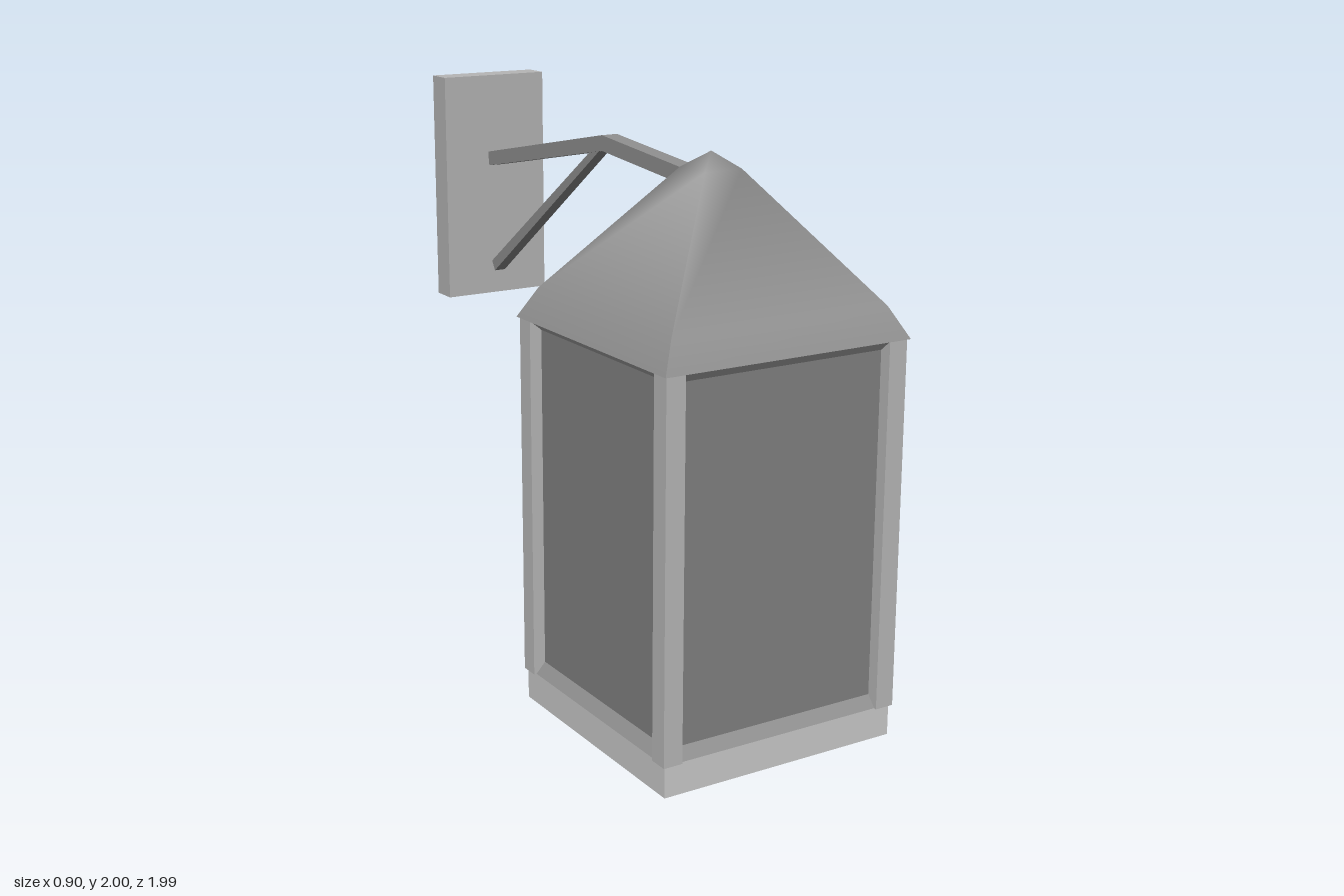
import * as THREE from 'three';

const Z = 0.543; // lantern centre
const paint = (color, flatShading = false) => new THREE.MeshStandardMaterial({ color, flatShading });
const baseGrey = paint(0xc3c3c3);
const postGrey = paint(0xb9b9b9);
const plateGrey = paint(0xb6b6b6);
const roofGrey = paint(0x919191);
const armGrey = paint(0x8f8f8f);
const glassGrey = paint(0x828282);
const sillGrey = paint(0x8e8e8e, true);
const lintelGrey = paint(0xb4b4b4, true);

function add(parent, name, geometry, material) {
  const mesh = new THREE.Mesh(geometry, material);
  mesh.name = name;
  parent.add(mesh);
  return mesh;
}

// Box spanning two heights, centred on x and z
function box(w, d, y0, y1, x = 0, z = 0) {
  return new THREE.BoxGeometry(w, y1 - y0, d).translate(x, (y0 + y1) / 2, z);
}

// Square frustum given by half widths at its two heights
function frustum(half0, half1, y0, y1) {
  const g = new THREE.CylinderGeometry(half1 * Math.SQRT2, half0 * Math.SQRT2, y1 - y0, 4);
  return g.rotateY(Math.PI / 4).translate(0, (y0 + y1) / 2, 0);
}

// Bar with a side outline of [z, y] corners, given a width across x
function bar(outline, width) {
  const shape = new THREE.Shape(outline.map(([z, y]) => new THREE.Vector2(-z, y)));
  const g = new THREE.ExtrudeGeometry(shape, { depth: width, bevelEnabled: false });
  return g.translate(0, 0, -width / 2).rotateY(Math.PI / 2);
}

// Four-sided roof: hip edges are sharp at the eaves and soften towards the tip
function roofGeometry() {
  const profile = [[0.45, 1.337], [0.397, 1.438], [0.069, 1.847], [0, 1.9]];
  const rise = [0.46, 0.58, 0.68, 1]; // upward part of the normals
  const positions = [], normals = [], index = [];
  for (let side = 0; side < 4; side++) {
    const turn = new THREE.Matrix4().makeRotationY(side * Math.PI / 2);
    const start = positions.length / 3;
    profile.forEach(([half, y], i) => {
      for (const s of [-1, 1]) {
        const p = new THREE.Vector3(s * half, y, half).applyMatrix4(turn);
        const out = Math.sqrt(1 - rise[i] ** 2);
        const n = i < 2
          ? new THREE.Vector3(0, rise[i], out)
          : new THREE.Vector3(s * out * Math.SQRT1_2, rise[i], out * Math.SQRT1_2);
        n.applyMatrix4(turn);
        positions.push(p.x, p.y, p.z);
        normals.push(n.x, n.y, n.z);
      }
    });
    for (let i = 0; i < profile.length - 1; i++) {
      const a = start + i * 2;
      index.push(a, a + 1, a + 3);
      if (i < profile.length - 2) index.push(a, a + 3, a + 2);
    }
  }
  const g = new THREE.BufferGeometry();
  g.setAttribute('position', new THREE.Float32BufferAttribute(positions, 3));
  g.setAttribute('normal', new THREE.Float32BufferAttribute(normals, 3));
  g.setIndex(index);
  return g;
}

export function createModel() {
  const model = new THREE.Group();
  model.name = 'wallLantern';

  const lantern = new THREE.Group();
  lantern.name = 'lantern';
  lantern.position.z = Z;
  model.add(lantern);

  // Housing
  add(lantern, 'base', box(0.866, 0.866, 0, 0.106), baseGrey);
  add(lantern, 'glass', box(0.8, 0.8, 0.106, 1.335), glassGrey);
  add(lantern, 'sill', frustum(0.433, 0.4, 0.106, 0.143), sillGrey);
  add(lantern, 'lintel', frustum(0.4, 0.441, 1.302, 1.336), lintelGrey);
  for (const x of [-1, 1]) {
    for (const z of [-1, 1]) {
      add(lantern, 'cornerPost', box(0.067, 0.067, 0.105, 1.336, x * 0.4085, z * 0.4085), postGrey);
    }
  }

  // Roof and its underside
  add(lantern, 'roof', roofGeometry(), roofGrey);
  const soffit = add(lantern, 'soffit', new THREE.PlaneGeometry(0.9, 0.9).rotateX(Math.PI / 2), roofGrey);
  soffit.position.y = 1.337;

  // Wall bracket
  add(model, 'wallPlate', box(0.406, 0.097, 1.18, 2, 0, -0.948), plateGrey);
  add(model, 'arm', bar([
    [0.455, 1.83], [-0.07, 1.877], [-0.902, 1.717],
    [-0.893, 1.667], [-0.07, 1.824], [0.45, 1.778],
  ], 0.06), armGrey);
  add(model, 'brace', bar([
    [-0.105, 1.817], [-0.165, 1.808], [-0.902, 1.302], [-0.88, 1.268],
  ], 0.042), armGrey);

  return model;
}
